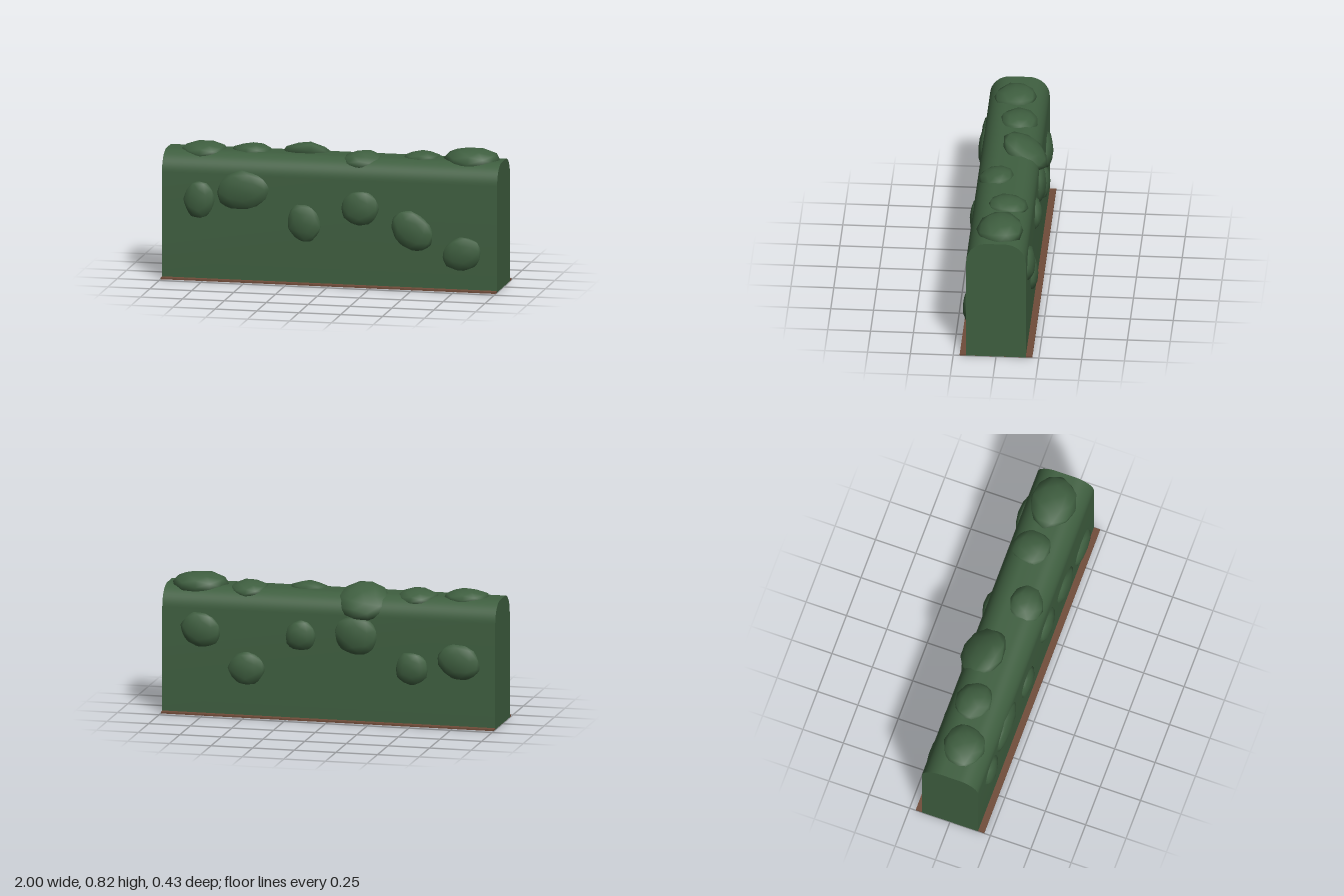
import * as THREE from 'three';
import { mergeVertices, toCreasedNormals } from 'three/addons/utils/BufferGeometryUtils.js';

const leafGreen = new THREE.MeshStandardMaterial({ color: 0x3f5f40 });
leafGreen.name = 'leafGreen';
const soilBrown = new THREE.MeshStandardMaterial({ color: 0x704c39 });
soilBrown.name = 'soilBrown';

// small seeded random generator, 0..1
let seed = 7;
function random() {
  seed = (seed * 16807) % 2147483647;
  return seed / 2147483647;
}

// smooth low-poly lump with a slightly uneven radius
function lumpGeometry() {
  let geo = new THREE.IcosahedronGeometry(1.03, 1);
  geo.deleteAttribute('uv');
  geo.deleteAttribute('normal');
  geo = mergeVertices(geo, 1e-3);
  const pos = geo.attributes.position;
  const v = new THREE.Vector3();
  for (let i = 0; i < pos.count; i++) {
    v.fromBufferAttribute(pos, i).multiplyScalar(0.93 + 0.13 * random());
    pos.setXYZ(i, v.x, v.y, v.z);
  }
  geo.computeVertexNormals();
  return geo;
}

function addClump(group, name, position, radii, rotation) {
  const clump = new THREE.Mesh(lumpGeometry(), leafGreen);
  clump.name = name;
  clump.position.set(...position);
  clump.scale.set(...radii);
  clump.rotation.set(...rotation);
  group.add(clump);
}

export function createModel() {
  seed = 7;
  const group = new THREE.Group();
  group.name = 'hedge';

  // soil strip
  const soil = new THREE.Mesh(new THREE.BoxGeometry(1.998, 0.01, 0.424), soilBrown);
  soil.name = 'soilStrip';
  soil.position.y = 0.005;
  group.add(soil);

  // clipped hedge body with rounded top edges
  const w = 0.174, h = 0.75, r = 0.12, base = 0.001;
  const profile = new THREE.Shape();
  profile.moveTo(-w, base);
  profile.lineTo(w, base);
  profile.lineTo(w, h - r);
  profile.absarc(w - r, h - r, r, 0, Math.PI / 2, false);
  profile.lineTo(r - w, h);
  profile.absarc(r - w, h - r, r, Math.PI / 2, Math.PI, false);
  profile.closePath();
  const bodyGeo = new THREE.ExtrudeGeometry(profile, { depth: 2, bevelEnabled: false, curveSegments: 6 });
  bodyGeo.translate(0, 0, -1).rotateY(Math.PI / 2);
  const body = new THREE.Mesh(toCreasedNormals(bodyGeo, 0.6), leafGreen);
  body.name = 'hedgeBody';
  group.add(body);

  // leaf clumps on the front: x, y, half width, half height, roll
  [
    [-0.78, 0.475, 0.092, 0.112, 0],
    [-0.52, 0.54, 0.158, 0.115, 0.1],
    [-0.155, 0.365, 0.095, 0.115, 0.4],
    [0.18, 0.465, 0.11, 0.106, 0],
    [0.49, 0.345, 0.135, 0.105, -0.6],
    [0.79, 0.22, 0.122, 0.1, 0.2],
  ].forEach(([x, y, rx, ry, roll]) =>
    addClump(group, 'frontLeafClump', [x, y, 0.168], [rx, ry, 0.04], [0, 0, roll]));

  // leaf clumps on the back
  [
    [0.77, 0.505, 0.122, 0.102, 0.2],
    [0.495, 0.285, 0.11, 0.1, 0],
    [0.17, 0.5, 0.092, 0.092, 0],
    [-0.163, 0.517, 0.135, 0.115, 0.2],
    [-0.5, 0.34, 0.1, 0.098, 0],
    [-0.78, 0.39, 0.13, 0.105, 0.3],
  ].forEach(([x, y, rx, ry, roll]) =>
    addClump(group, 'backLeafClump', [x, y, -0.168], [rx, ry, 0.042], [0, 0, roll]));

  // leaf clumps on the top: x, y, z, three radii, tilt, turn
  [
    [-0.785, 0.738, 0.01, 0.138, 0.052, 0.122, 0.05, 0],
    [-0.5, 0.735, -0.03, 0.122, 0.05, 0.106, -0.1, -0.2],
    [-0.19, 0.71, -0.085, 0.16, 0.066, 0.145, -0.55, -0.25],
    [0.17, 0.727, 0.055, 0.115, 0.052, 0.1, 0.2, 0],
    [0.51, 0.735, -0.035, 0.112, 0.046, 0.115, -0.1, 0],
    [0.81, 0.743, -0.013, 0.162, 0.072, 0.13, 0, 0],
  ].forEach(([x, y, z, rx, ry, rz, tilt, turn]) =>
    addClump(group, 'topLeafClump', [x, y, z], [rx, ry, rz], [tilt, turn, 0]));

  return group;
}
